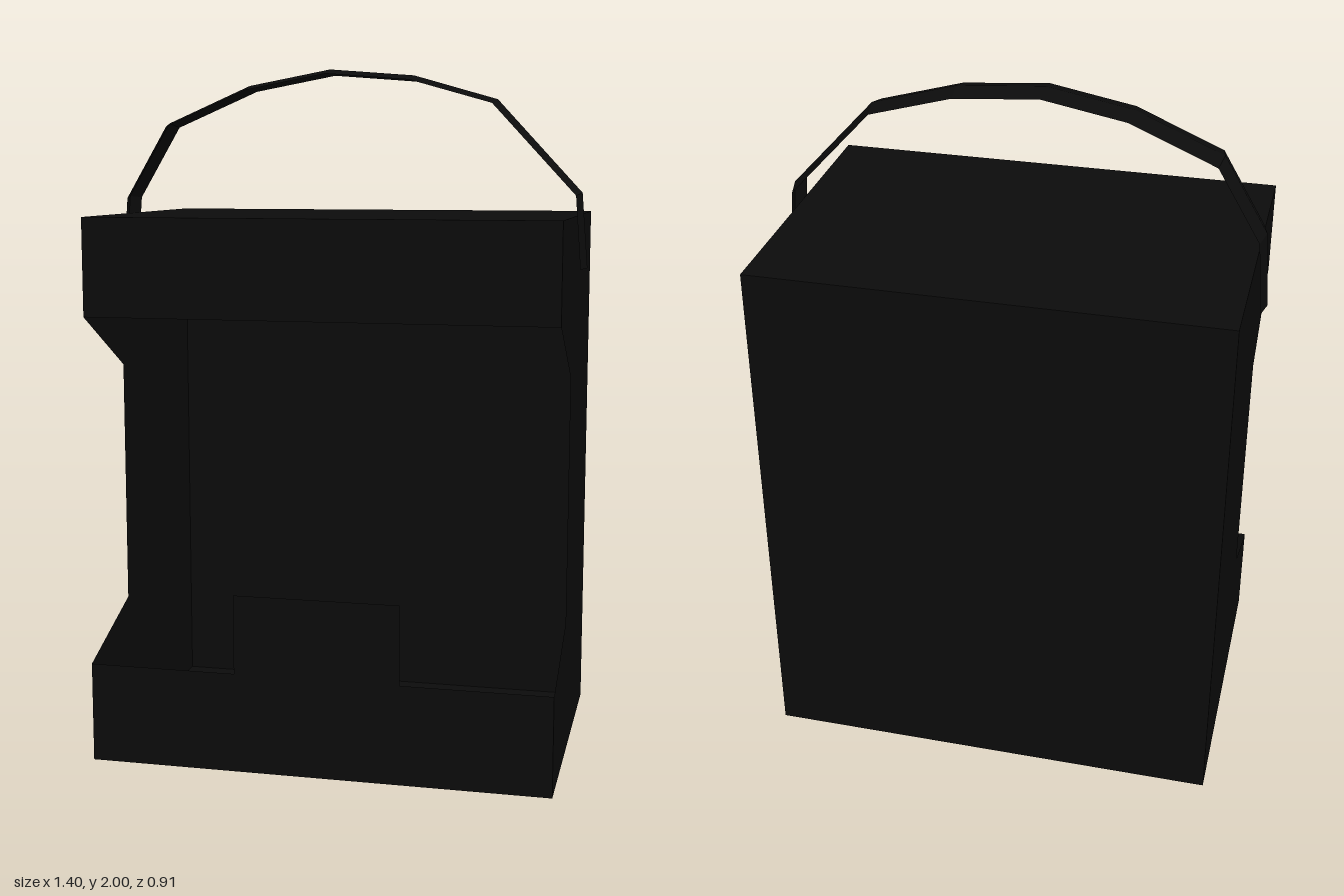
import * as THREE from 'three';

const W = 0.67, H = 1.58, D = 0.455; // half width, height, half depth

const black = new THREE.MeshStandardMaterial({ color: 0x0c0c0c, side: THREE.DoubleSide });
black.name = 'black';

function addMesh(group, name, geometry) {
  const mesh = new THREE.Mesh(geometry, black);
  mesh.name = name;
  group.add(mesh);
  return mesh;
}

const sheet = (points) =>
  new THREE.ShapeGeometry(new THREE.Shape(points.map(([x, y]) => new THREE.Vector2(x, y))));

// Thin strap following a path in xy, with a ridge along its middle
function strapGeometry(path, zBack, zFront, crown) {
  const zMid = (zBack + zFront) / 2;
  const rows = path.map(([x, y], i) => {
    const a = path[Math.max(i - 1, 0)], b = path[Math.min(i + 1, path.length - 1)];
    const dx = b[0] - a[0], dy = b[1] - a[1], len = Math.hypot(dx, dy);
    const ix = x + (dy / len) * crown, iy = y - (dx / len) * crown;
    return [[ix, iy, zBack], [x, y, zMid], [ix, iy, zFront]];
  });
  const positions = [];
  for (let i = 0; i < rows.length - 1; i++) {
    for (let j = 0; j < 2; j++) {
      const a = rows[i][j], b = rows[i][j + 1], c = rows[i + 1][j + 1], d = rows[i + 1][j];
      positions.push(...a, ...b, ...c, ...a, ...c, ...d);
    }
  }
  const geometry = new THREE.BufferGeometry();
  geometry.setAttribute('position', new THREE.Float32BufferAttribute(positions, 3));
  geometry.computeVertexNormals();
  return geometry;
}

export function createModel() {
  const model = new THREE.Group();
  model.name = 'openFrontCase';

  // Side panels with the front cut-out
  const profile = [[-D, 0], [D, 0], [D, 0.29], [0.15, 0.41], [0.15, 1.13], [D, 1.3], [D, H], [-D, H]];
  for (const side of [-1, 1]) {
    const panel = addMesh(model, side > 0 ? 'leftPanel' : 'rightPanel', sheet(profile).rotateY(-Math.PI / 2));
    panel.position.x = side * W;
  }

  // Back, floor and lid of the hollow case
  addMesh(model, 'backPanel', new THREE.PlaneGeometry(2 * W, H).rotateY(Math.PI)).position.set(0, H / 2, -D);
  addMesh(model, 'floor', new THREE.PlaneGeometry(2 * W, 2 * D).rotateX(Math.PI / 2));
  addMesh(model, 'lid', new THREE.PlaneGeometry(2 * W, 2 * D).rotateX(-Math.PI / 2)).position.y = H;

  // Front strips: the lower one has a raised centre tab
  const lower = [[-W, 0], [W, 0], [W, 0.29], [0.24, 0.29], [0.24, 0.52], [-0.24, 0.52], [-0.24, 0.29], [-W, 0.29]];
  addMesh(model, 'lowerFrontPanel', sheet(lower)).position.z = D;
  const upper = [[-W, 1.3], [W, 1.3], [W, H], [-W, H]];
  addMesh(model, 'upperFrontPanel', sheet(upper)).position.z = D;

  // Arched carrying strap
  const arch = [
    [-0.705, 1.41], [-0.687, 1.63], [-0.557, 1.847], [-0.305, 1.955], [-0.06, 2],
    [0.19, 1.98], [0.435, 1.91], [0.682, 1.645], [0.7, 1.43],
  ];
  addMesh(model, 'handle', strapGeometry(arch, -0.045, 0.08, 0.015));

  return model;
}
